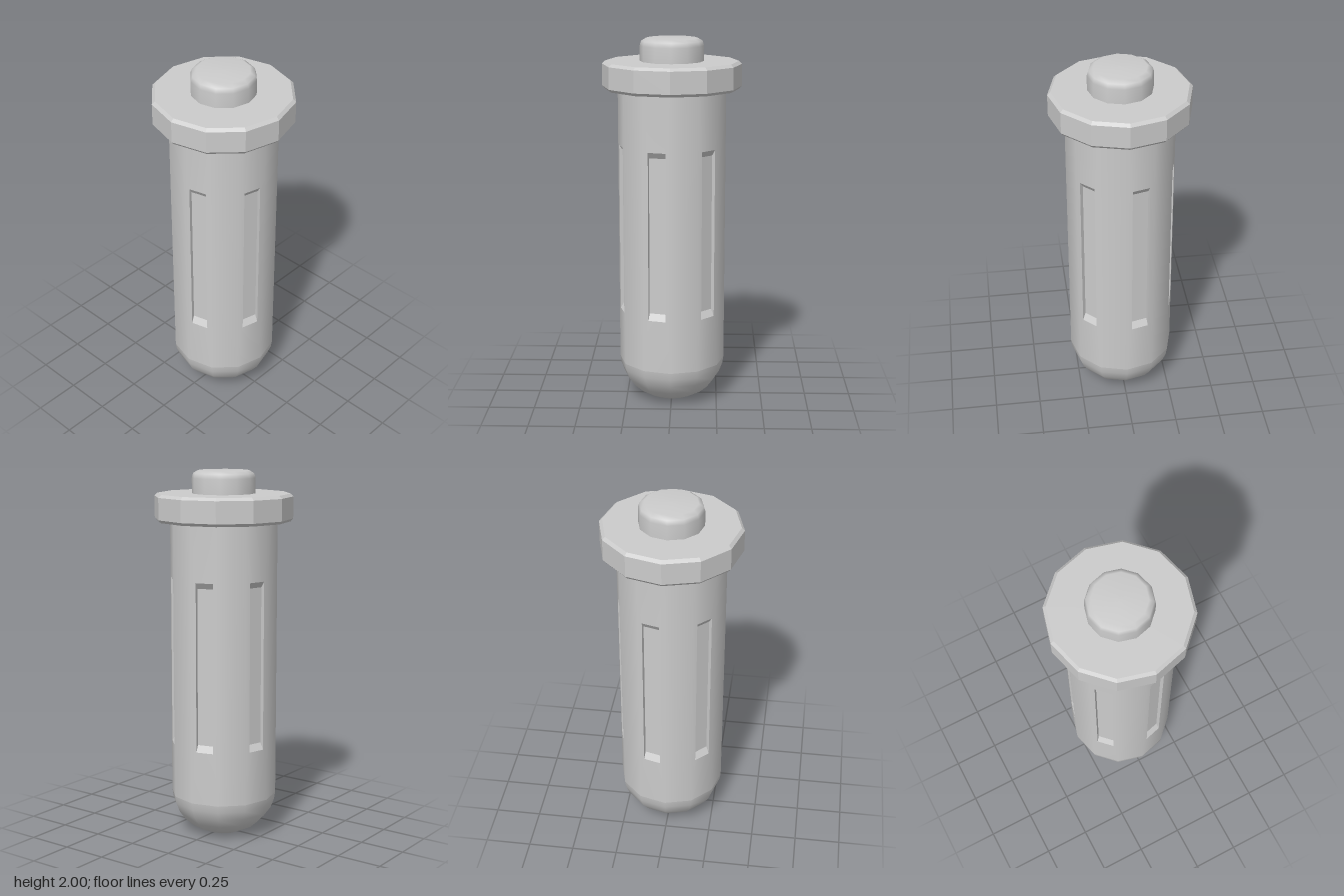
import * as THREE from 'three';
import { mergeGeometries } from 'three/addons/utils/BufferGeometryUtils.js';

const SIDES = 12;
const STEP = (Math.PI * 2) / SIDES;
const R = 0.29;
const APOTHEM = R * Math.cos(STEP / 2);
const HALF = R * Math.sin(STEP / 2);
const SHAFT = [0.22, 1.735];
// Recessed slot: half width, outer and inner heights, depth
const SLOT = { half: 0.048, y0: 0.51, y1: 1.427, in0: 0.546, in1: 1.395, depth: 0.022 };

const v2 = (p) => new THREE.Vector2(p[0], p[1]);
const lathe = (points) => new THREE.LatheGeometry(points.map(v2), SIDES);
const rectangle = (h, y0, y1) => [[-h, y0], [h, y0], [h, y1], [-h, y1]].map(v2);

// One flat side of the shaft, optionally with a slot opening, shaded as part of a round tube
function shaftSide(index) {
  const shape = new THREE.Shape(rectangle(HALF, ...SHAFT));
  if (index % 2 === 0) shape.holes.push(new THREE.Path(rectangle(SLOT.half, SLOT.y0, SLOT.y1)));
  const geometry = new THREE.ShapeGeometry(shape);
  geometry.translate(0, 0, APOTHEM).rotateY((index + 0.5) * STEP);
  const pos = geometry.attributes.position;
  const n = new THREE.Vector3();
  for (let i = 0; i < pos.count; i++) {
    n.set(pos.getX(i), 0, pos.getZ(i)).normalize();
    geometry.attributes.normal.setXYZ(i, n.x, n.y, n.z);
  }
  return geometry;
}

// Slot walls and floor, sloped at top and bottom
function slotGeometry() {
  const rim = rectangle(SLOT.half, SLOT.y0, SLOT.y1).map((p) => [p.x, p.y, APOTHEM]);
  const floor = rectangle(SLOT.half, SLOT.in0, SLOT.in1).map((p) => [p.x, p.y, APOTHEM - SLOT.depth]);
  const positions = [];
  const quad = (a, b, c, d) => positions.push(...a, ...b, ...c, ...a, ...c, ...d);
  quad(...floor);
  for (let i = 0; i < 4; i++) {
    const j = (i + 1) % 4;
    quad(rim[i], rim[j], floor[j], floor[i]);
  }
  const geometry = new THREE.BufferGeometry();
  geometry.setAttribute('position', new THREE.Float32BufferAttribute(positions, 3));
  geometry.computeVertexNormals();
  return geometry;
}

export function createModel() {
  const model = new THREE.Group();
  const smooth = new THREE.MeshStandardMaterial({ color: 0xcccccc });
  const flat = new THREE.MeshStandardMaterial({ color: 0xcccccc, flatShading: true });
  const add = (name, geometry, material) => {
    const mesh = new THREE.Mesh(geometry, material);
    mesh.name = name;
    model.add(mesh);
    return mesh;
  };

  // Rounded lower end
  add('roundedBase', lathe([
    [0, 0], [0.105, 0.002], [0.18, 0.038], [0.228, 0.08], [0.265, 0.13], [0.284, 0.18], [R, SHAFT[0]],
  ]), smooth);

  // Twelve-sided shaft with a slot in every second side
  const sides = Array.from({ length: SIDES }, (_, i) => shaftSide(i));
  add('shaft', mergeGeometries(sides), smooth);
  const slot = slotGeometry();
  for (let i = 0; i < SIDES; i += 2) {
    add('slot', slot, flat).rotation.y = (i + 0.5) * STEP;
  }

  // Bevelled collar
  add('collar', lathe([
    [0.2, 1.73], [0.36, 1.73], [0.373, 1.745], [0.373, 1.862], [0.357, 1.877], [0, 1.877],
  ]), flat);

  // Softly rounded button on top
  add('topButton', lathe([
    [0.171, 1.87], [0.171, 1.958], [0.163, 1.983], [0.138, 1.998], [0, 2],
  ]), smooth);

  return model;
}
